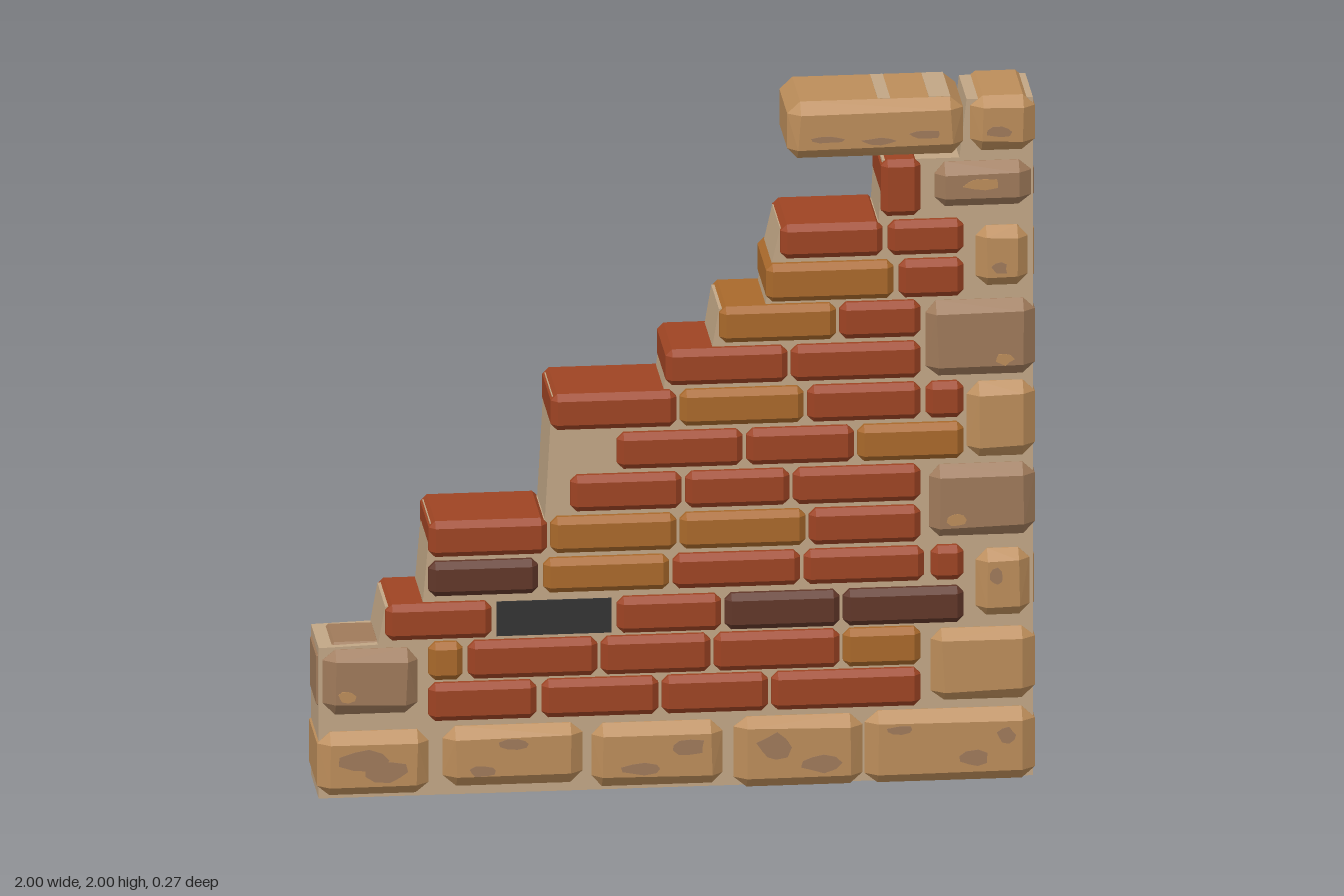
import * as THREE from 'three';
import { ConvexGeometry } from 'three/addons/geometries/ConvexGeometry.js';

const mat = (name, color, side = THREE.FrontSide) =>
  Object.assign(new THREE.MeshStandardMaterial({ color, side }), { name });

export function createModel() {
  const M = {
    r: mat('red brick', 0x9e4423),
    o: mat('ochre brick', 0xa9692b),
    d: mat('burnt brick', 0x613729),
    k: mat('charcoal brick', 0x333333),
    t: mat('tan stone', 0xbc8d5a),
    b: mat('brown stone', 0x9f7a5a),
    m: mat('mortar', 0xc1a685),
  };
  let seed = 7;
  const rnd = () => (seed = (seed * 16807) % 2147483647) / 2147483647;

  const wall = new THREE.Group();
  wall.name = 'ruinedWall';
  const add = (name, geo, key) => {
    const mesh = new THREE.Mesh(geo, M[key]);
    mesh.name = name;
    wall.add(mesh);
    return mesh;
  };

  // Block with all edges bevelled; wobble pulls corners inward for hewn stone
  function block(name, key, x0, x1, y0, y1, hz, c, wobble = 0) {
    const h = [(x1 - x0) / 2, (y1 - y0) / 2, hz];
    const pts = [];
    for (const sx of [-1, 1]) for (const sy of [-1, 1]) {
      const wx = 1 - wobble * rnd() / h[0], wy = 1 - wobble * rnd() / h[1];
      for (const sz of [-1, 1]) for (let axis = 0; axis < 3; axis++) {
        const e = h.map((v, i) => (i === axis ? v : v - c));
        pts.push(new THREE.Vector3(
          sx * e[0] * (axis === 0 ? 1 : wx), sy * e[1] * (axis === 1 ? 1 : wy), sz * e[2]));
      }
    }
    add(name, new ConvexGeometry(pts), key).position.set((x0 + x1) / 2, (y0 + y1) / 2, 0);
  }

  // Mortar core following the broken, stepped edge
  const outline = [
    [-0.995, 0.005], [0.995, 0.005], [0.995, 1.99], [0.81, 1.99], [0.79, 1.82], [0.575, 1.82],
    [0.565, 1.64], [0.29, 1.63], [0.265, 1.52], [0.25, 1.41], [0.12, 1.4], [0.1, 1.28],
    [-0.02, 1.28], [-0.035, 1.16], [-0.345, 1.16], [-0.365, 0.8], [-0.685, 0.8],
    [-0.705, 0.57], [-0.81, 0.56], [-0.83, 0.45], [-0.995, 0.445],
  ].map(p => new THREE.Vector2(...p));
  const core = new THREE.ExtrudeGeometry(new THREE.Shape(outline), { depth: 0.21, bevelEnabled: false });
  add('mortarCore', core.translate(0, 0, -0.105), 'm');

  // Brick courses: bottom, top, then [left, right, colour]
  const courses = [
    [0.225, 0.335, [-0.69, -0.39, 'r'], [-0.375, -0.05, 'r'], [-0.04, 0.255, 'r'], [0.265, 0.68, 'r']],
    [0.345, 0.455, [-0.69, -0.595, 'o'], [-0.58, -0.22, 'r'], [-0.21, 0.095, 'r'], [0.105, 0.455, 'r'], [0.465, 0.68, 'o']],
    [0.465, 0.57, [-0.81, -0.515, 'r'], [-0.165, 0.125, 'r'], [0.135, 0.455, 'd'], [0.465, 0.8, 'd']],
    [0.59, 0.69, [-0.69, -0.385, 'd'], [-0.37, -0.02, 'o'], [-0.01, 0.345, 'r'], [0.355, 0.69, 'r'], [0.71, 0.8, 'r']],
    [0.705, 0.81, [-0.69, -0.36, 'r'], [-0.35, 0, 'o'], [0.01, 0.36, 'o'], [0.37, 0.68, 'r']],
    [0.825, 0.93, [-0.295, 0.015, 'r'], [0.025, 0.315, 'r'], [0.325, 0.68, 'r']],
    [0.945, 1.05, [-0.165, 0.185, 'r'], [0.195, 0.495, 'r'], [0.505, 0.8, 'o']],
    [1.065, 1.17, [-0.35, 0, 'r'], [0.01, 0.355, 'o'], [0.365, 0.68, 'r'], [0.695, 0.8, 'r']],
    [1.185, 1.29, [-0.03, 0.31, 'r'], [0.32, 0.68, 'r']],
    [1.305, 1.41, [0.12, 0.445, 'o'], [0.455, 0.68, 'r']],
    [1.42, 1.53, [0.25, 0.605, 'o'], [0.62, 0.8, 'r']],
    [1.545, 1.645, [0.29, 0.575, 'r'], [0.59, 0.8, 'r']],
    [1.66, 1.825, [0.57, 0.68, 'r']],
  ];
  for (const [y0, y1, ...bricks] of courses)
    for (const [x0, x1, key] of bricks) block('brick', key, x0, x1, y0, y1, 0.135, 0.018);

  // Flat charcoal brick
  add('charcoalBrick', new THREE.BoxGeometry(0.32, 0.1, 0.222), 'k').position.set(-0.34, 0.515, 0);

  // Base, corner and lintel stones
  const stones = [
    ['baseStone', 't', -1, -0.69, 0.015, 0.2], ['baseStone', 't', -0.65, -0.26, 0.03, 0.205],
    ['baseStone', 't', -0.235, 0.13, 0.015, 0.2], ['baseStone', 't', 0.16, 0.52, 0, 0.205],
    ['baseStone', 't', 0.525, 1, 0, 0.21], ['endStone', 'b', -0.985, -0.72, 0.25, 0.44],
    ['cornerStone', 't', 0.71, 1, 0.235, 0.445], ['cornerStone', 't', 0.835, 0.985, 0.48, 0.675],
    ['cornerStone', 'b', 0.705, 1, 0.715, 0.925], ['cornerStone', 't', 0.81, 1, 0.945, 1.165],
    ['cornerStone', 'b', 0.695, 1, 1.185, 1.405], ['cornerStone', 't', 0.835, 0.98, 1.445, 1.62],
    ['cornerStone', 'b', 0.72, 0.99, 1.68, 1.81], ['topStone', 't', 0.82, 1, 1.84, 2],
    ['lintel', 't', 0.31, 0.8, 1.835, 2],
  ];
  for (const s of stones) block(...s, 0.135, 0.028, 0.012);

  // Small stones set into the narrow end faces and the low ledge
  block('sideStone', 't', 0.9, 1, 0.495, 0.655, 0.09, 0.01);
  block('sideStone', 't', 0.9, 1, 1.455, 1.61, 0.09, 0.01);
  block('sideStone', 'b', 0.9, 1, 1.69, 1.785, 0.09, 0.01);
  block('sideStone', 'b', -1, -0.9, 0.265, 0.425, 0.09, 0.01);
  block('ledgeStone', 'b', -0.96, -0.82, 0.4, 0.453, 0.09, 0.01);

  // Irregular weathering patches on both faces: colour, centre, radii
  const patches = [
    ['b', -0.87, 0.12, 0.08, 0.04], ['b', -0.81, 0.085, 0.07, 0.035], ['b', -0.45, 0.155, 0.05, 0.02],
    ['b', -0.54, 0.08, 0.05, 0.02], ['b', 0.03, 0.13, 0.06, 0.03], ['b', -0.1, 0.07, 0.06, 0.02],
    ['b', 0.27, 0.12, 0.05, 0.045], ['b', 0.4, 0.07, 0.06, 0.03], ['b', 0.62, 0.16, 0.04, 0.015],
    ['b', 0.83, 0.07, 0.05, 0.025], ['b', 0.92, 0.135, 0.03, 0.025], ['t', -0.92, 0.31, 0.03, 0.02],
    ['b', 0.89, 0.6, 0.025, 0.03], ['t', 0.78, 0.77, 0.03, 0.02], ['t', 0.91, 1.235, 0.03, 0.02],
    ['t', 0.85, 1.75, 0.06, 0.02], ['b', 0.9, 1.5, 0.025, 0.02], ['b', 0.9, 1.9, 0.04, 0.02],
    ['b', 0.42, 1.895, 0.05, 0.012], ['b', 0.56, 1.885, 0.05, 0.012], ['b', 0.69, 1.9, 0.05, 0.015],
  ];
  for (const [key, x, y, rx, ry] of patches) {
    const pts = [];
    for (let i = 0; i < 9; i++) {
      const a = (i / 9) * Math.PI * 2, k = 0.65 + 0.4 * rnd();
      pts.push(new THREE.Vector2(x + Math.cos(a) * rx * k, y + Math.sin(a) * ry * k));
    }
    const plate = new THREE.ExtrudeGeometry(new THREE.Shape(pts), { depth: 0.003, bevelEnabled: false });
    for (const z of [0.134, -0.137]) add('weatheringPatch', plate, key).position.z = z;
  }

  // Pale streaks across the lintel top
  for (const [x, w] of [[0.58, 0.035], [0.735, 0.06]])
    add('lintelStreak', new THREE.BoxGeometry(w, 0.003, 0.21), 'm').position.set(x, 1.9995, 0);

  return wall;
}
